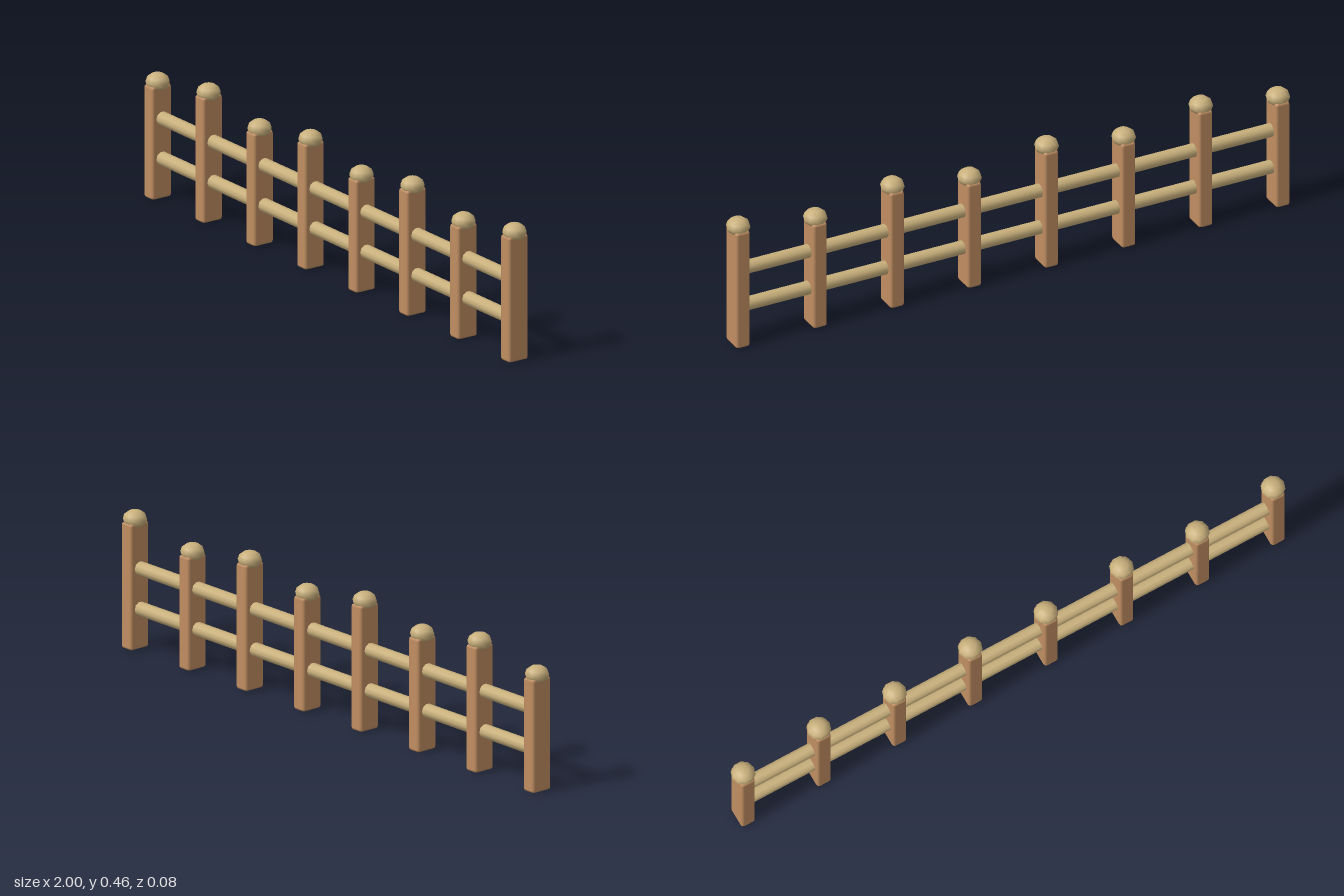
import * as THREE from 'three';
import { RoundedBoxGeometry } from 'three/addons/geometries/RoundedBoxGeometry.js';

const COUNT = 8;
const END_X = 0.9605;

export function createModel() {
  const postWood = new THREE.MeshStandardMaterial({ name: 'post wood', color: 0xc08e62 });
  const paleWood = new THREE.MeshStandardMaterial({ name: 'pale wood', color: 0xc9b07c });

  const model = new THREE.Group();
  model.name = 'fence';

  const add = (name, geometry, material, x, y) => {
    const mesh = new THREE.Mesh(geometry, material);
    mesh.name = name;
    mesh.position.set(x, y, 0);
    model.add(mesh);
  };

  // flattened knob shared by every post
  const knob = new THREE.SphereGeometry(0.0395, 10, 6);
  knob.scale(1, 0.76, 1);

  // chamfered posts alternate between short and tall
  const postGeometry = (h) => new RoundedBoxGeometry(0.05, h, 0.076, 1, 0.009);
  const heights = [0.378, 0.42];
  const posts = heights.map(postGeometry);
  for (let i = 0; i < COUNT; i++) {
    const x = -END_X + (2 * END_X * i) / (COUNT - 1);
    const h = heights[i % 2];
    add('post', posts[i % 2], postWood, x, h / 2);
    add('postCap', knob, paleWood, x, h + 0.0075);
  }

  // two round rails running through all the posts
  const rail = new THREE.CylinderGeometry(0.023, 0.023, 2 * END_X, 10);
  rail.rotateZ(Math.PI / 2);
  add('upperRail', rail, paleWood, 0, 0.269);
  add('lowerRail', rail, paleWood, 0, 0.135);

  return model;
}
